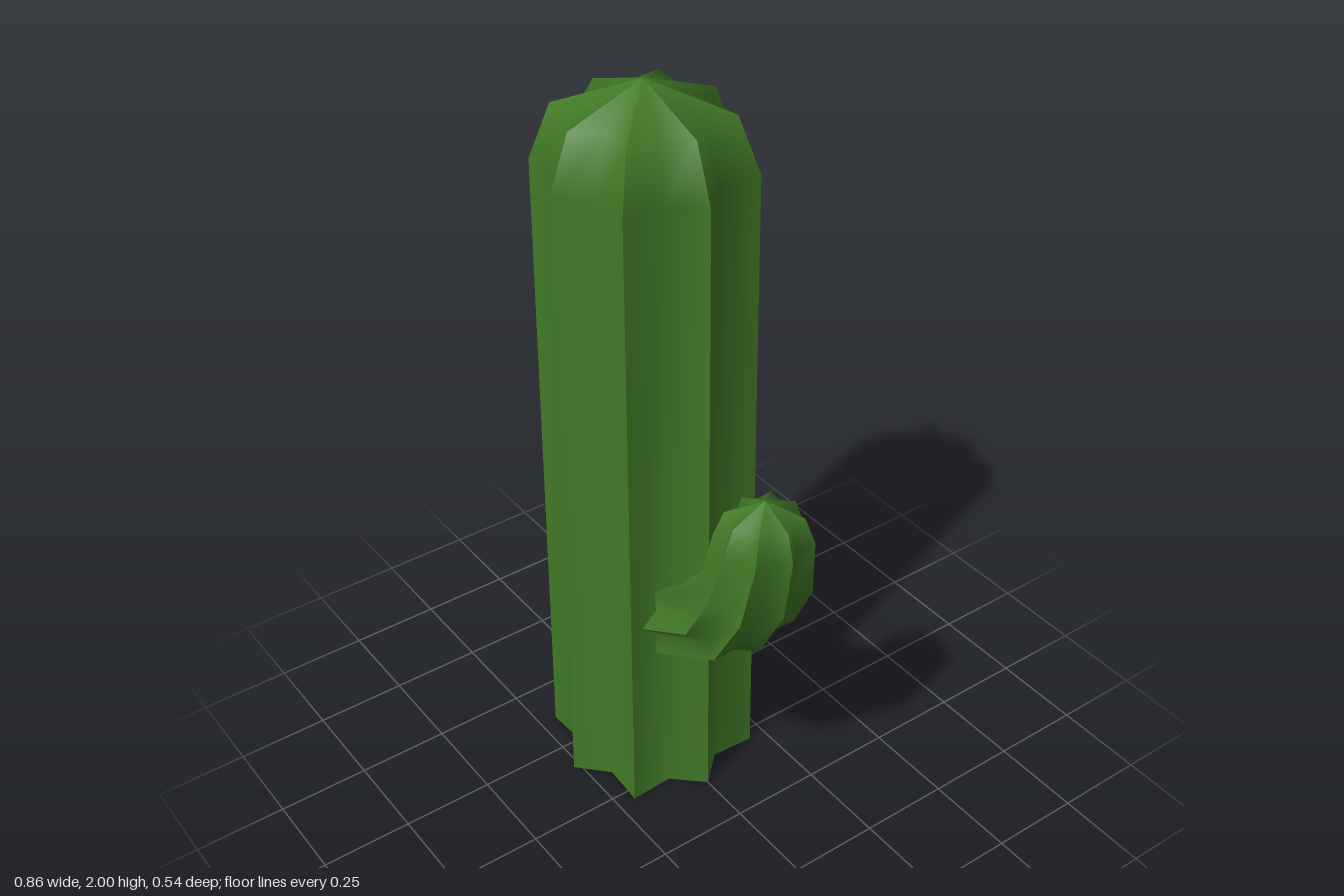
import * as THREE from 'three';
import { mergeGeometries } from 'three/addons/utils/BufferGeometryUtils.js';

const RIBS = 8;

// Point on a star-shaped section; k counts ridges (even) and valleys (odd)
function starPoint(s, k) {
  const angle = (k * Math.PI) / RIBS;
  const scale = k % 2 ? 0.78 : k % 4 ? 1.055 : 1; // valley, diagonal ridge, main ridge
  const across = Math.sin(angle) * s.r * scale;
  const depth = Math.cos(angle) * s.rz * scale;
  const t = THREE.MathUtils.degToRad(s.tilt);
  return [s.x + across * Math.sin(t), s.y - across * Math.cos(t), depth];
}

// Ribbed stem: each lobe runs ridge-valley-ridge, smooth inside and sharp at the ridges
function ribbedStem(sections, tip) {
  const lobes = [];
  for (let i = 0; i < RIBS; i++) {
    const points = [];
    const index = [];
    for (const s of sections) {
      for (let c = 0; c < 3; c++) points.push(...starPoint(s, i * 2 + c));
    }
    points.push(...tip);
    const apex = sections.length * 3;
    for (let j = 0; j < sections.length; j++) {
      for (let c = 0; c < 2; c++) {
        const a = j * 3 + c;
        if (j === sections.length - 1) index.push(a, a + 1, apex);
        else index.push(a, a + 1, a + 4, a, a + 4, a + 3);
      }
    }
    const lobe = new THREE.BufferGeometry();
    lobe.setAttribute('position', new THREE.Float32BufferAttribute(points, 3));
    lobe.setIndex(index);
    lobe.computeVertexNormals();
    lobes.push(lobe);
  }
  return mergeGeometries(lobes);
}

export function createModel() {
  const group = new THREE.Group();
  group.name = 'cactus';

  // Open at the foot, so both sides show
  const green = new THREE.MeshStandardMaterial({ color: 0x427a27, side: THREE.DoubleSide });
  green.name = 'cactusGreen';

  // Upright trunk with a pointed dome
  const trunkX = -0.165;
  const trunkRings = [[0, 0.268], [1.78, 0.259], [1.925, 0.206]];
  const trunk = new THREE.Mesh(
    ribbedStem(
      trunkRings.map(([y, r]) => ({ x: trunkX, y, tilt: 90, r, rz: r })),
      [trunkX, 2, 0],
    ),
    green,
  );
  trunk.name = 'trunk';

  // Side arm: leaves the trunk at a slant, bends upward and narrows in depth
  const arm = new THREE.Mesh(
    ribbedStem(
      [
        { x: -0.03, y: 0.552, tilt: 32, r: 0.118, rz: 0.157 },
        { x: 0.23, y: 0.715, tilt: 44, r: 0.117, rz: 0.17 },
        { x: 0.296, y: 0.845, tilt: 67, r: 0.114, rz: 0.15 },
        { x: 0.316, y: 0.99, tilt: 88, r: 0.112, rz: 0.122 },
        { x: 0.316, y: 1.062, tilt: 90, r: 0.09, rz: 0.094 },
      ],
      [0.316, 1.105, 0],
    ),
    green,
  );
  arm.name = 'arm';

  group.add(trunk, arm);
  return group;
}
